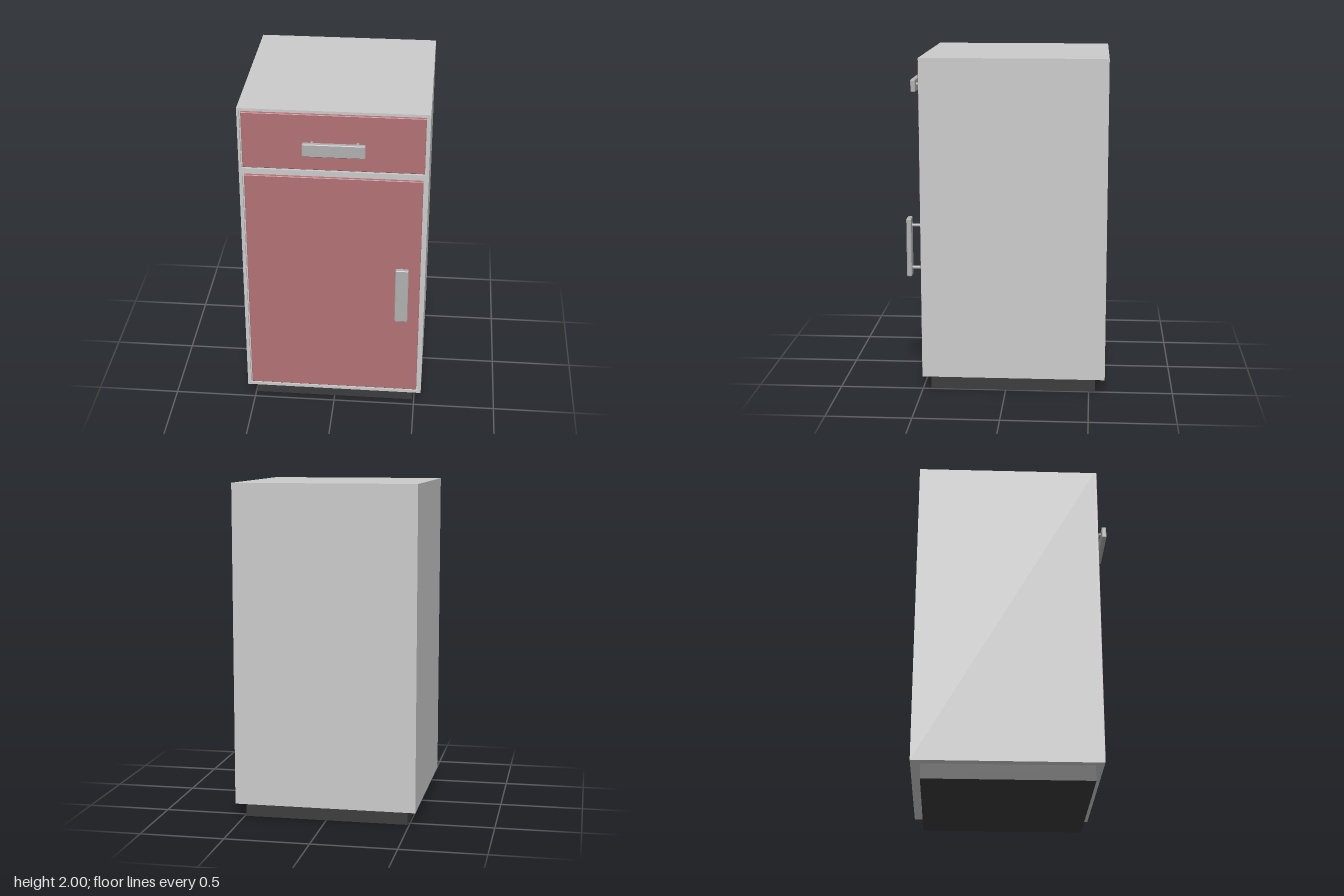
import * as THREE from 'three';

const grey = new THREE.MeshStandardMaterial({ color: 0xcccccc });
const red = new THREE.MeshStandardMaterial({ color: 0xb27175 });
const dark = new THREE.MeshStandardMaterial({ color: 0x3c3c3c });
const metal = new THREE.MeshStandardMaterial({ color: 0xb0b0b0 });

// Box given by its extents on each axis
function box(name, [x0, x1], [y0, y1], [z0, z1], material) {
  const mesh = new THREE.Mesh(new THREE.BoxGeometry(x1 - x0, y1 - y0, z1 - z0), material);
  mesh.position.set((x0 + x1) / 2, (y0 + y1) / 2, (z0 + z1) / 2);
  mesh.name = name;
  return mesh;
}

// Rectangle outline, optionally with rounded corners
function rect(path, x0, x1, y0, y1, r = 0) {
  if (!r) {
    path.moveTo(x0, y0).lineTo(x1, y0).lineTo(x1, y1).lineTo(x0, y1).closePath();
    return path;
  }
  path.absarc(x1 - r, y0 + r, r, -Math.PI / 2, 0);
  path.absarc(x1 - r, y1 - r, r, 0, Math.PI / 2);
  path.absarc(x0 + r, y1 - r, r, Math.PI / 2, Math.PI);
  path.absarc(x0 + r, y0 + r, r, Math.PI, Math.PI * 1.5);
  path.closePath();
  return path;
}

// Plate between two z values with a small chamfer on its edges
function plate(name, shape, z0, z1, bevel, material) {
  const geometry = new THREE.ExtrudeGeometry(shape, {
    depth: z1 - z0 - 2 * bevel, bevelEnabled: bevel > 0, bevelSize: bevel,
    bevelThickness: bevel, bevelOffset: -bevel, bevelSegments: 1, curveSegments: 4,
  });
  geometry.translate(0, 0, z0 + bevel);
  const mesh = new THREE.Mesh(geometry, material);
  mesh.name = name;
  return mesh;
}

// Flat bar pull on two round posts, built horizontally around its centre
function handle(name) {
  const group = new THREE.Group();
  group.name = name;
  const bar = rect(new THREE.Shape(), -0.178, 0.178, -0.039, 0.039, 0.008);
  group.add(plate('handleBar', bar, 0.566, 0.595, 0.004, metal));
  for (const side of [-1, 1]) {
    const post = new THREE.Mesh(new THREE.CylinderGeometry(0.01, 0.01, 0.08, 16), metal);
    post.rotation.x = Math.PI / 2;
    post.position.set(side * 0.13, 0.006, 0.53);
    post.name = 'handlePost';
    group.add(post);
  }
  return group;
}

export function createModel() {
  const model = new THREE.Group();
  model.name = 'cabinet';

  // Plinth and carcass
  model.add(box('plinth', [-0.49, 0.49], [0, 0.09], [-0.537, 0.45], dark));
  model.add(box('carcass', [-0.543, 0.543], [0.09, 2], [-0.595, 0.485], grey));

  // Front frame with openings for the drawer and the door
  const openings = [
    { name: 'drawerFront', x: 0.529, y: [1.624, 1.986] },
    { name: 'doorFront', x: 0.523, y: [0.108, 1.592] },
  ];
  const frame = rect(new THREE.Shape(), -0.543, 0.543, 0.09, 2);
  for (const { x, y } of openings) frame.holes.push(rect(new THREE.Path(), -x, x, ...y));
  model.add(plate('frontFrame', frame, 0.485, 0.498, 0, grey));

  // Inset coloured fronts, leaving a narrow groove all round
  const gap = 0.009;
  for (const { name, x, y } of openings) {
    const shape = rect(new THREE.Shape(), gap - x, x - gap, y[0] + gap, y[1] - gap);
    model.add(plate(name, shape, 0.48, 0.503, 0.003, red));
  }

  // Handles: horizontal on the drawer, upright on the door
  const drawerHandle = handle('drawerHandle');
  drawerHandle.position.set(0.01, 1.799, 0);
  const doorHandle = handle('doorHandle');
  doorHandle.rotation.z = Math.PI / 2;
  doorHandle.position.set(0.409, 0.861, 0);
  model.add(drawerHandle, doorHandle);

  return model;
}
